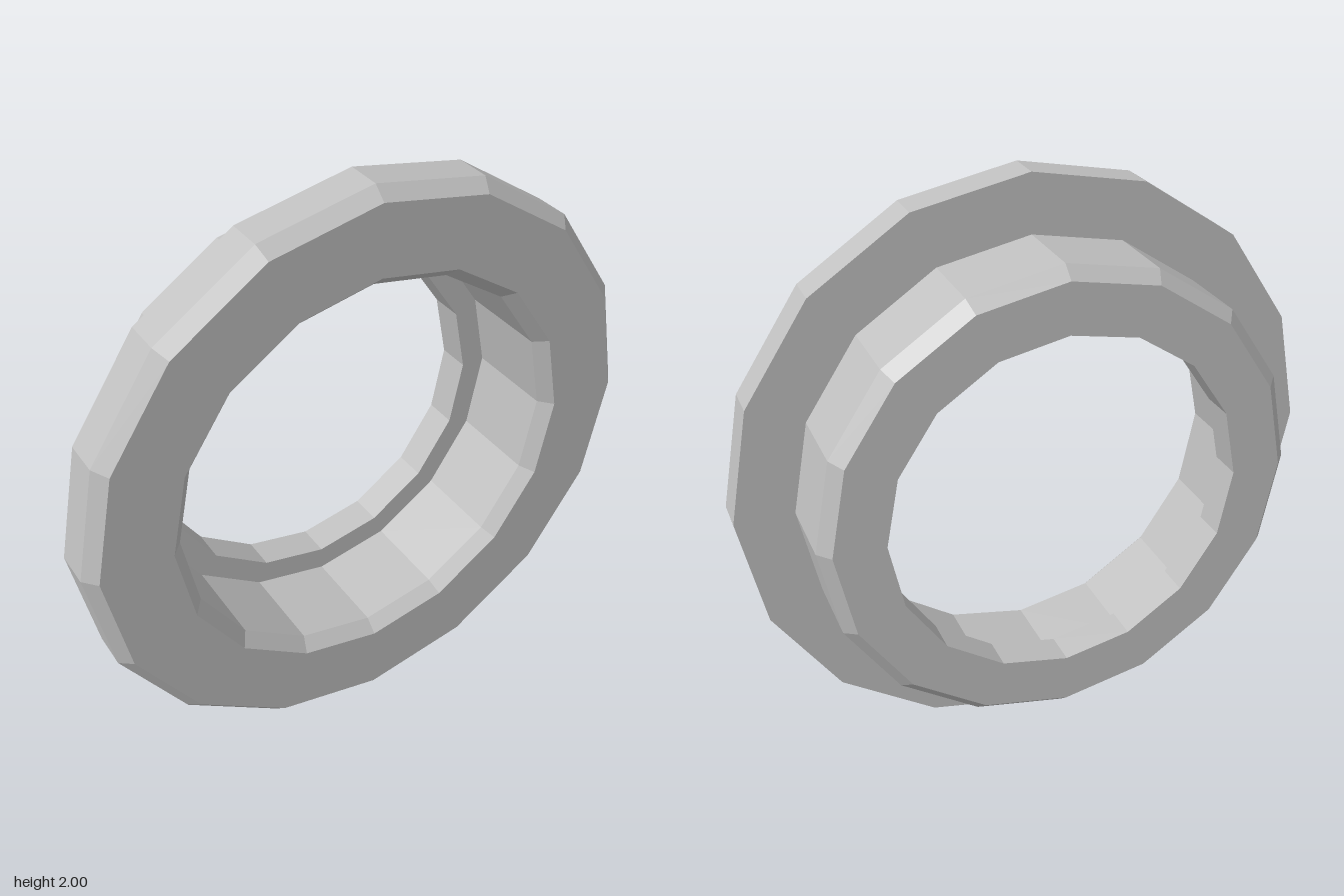
import * as THREE from 'three';

const SIDES = 16;

// Turns a [radius, z] profile around the z axis with flat facets.
function turned(name, profile, material) {
  const points = profile.map(([r, z]) => new THREE.Vector2(r, z));
  const geometry = new THREE.LatheGeometry(points, SIDES).toNonIndexed();
  geometry.rotateX(Math.PI / 2);
  geometry.computeVertexNormals();
  const mesh = new THREE.Mesh(geometry, material);
  mesh.name = name;
  mesh.position.y = 1;
  return mesh;
}

export function createModel() {
  const model = new THREE.Group();
  model.name = 'flangedRing';
  const metal = new THREE.MeshStandardMaterial({ color: 0xc0c0c0 });
  metal.name = 'light grey metal';

  // Wide front flange, chamfered on its outer rim and around the opening
  model.add(turned('flange', [
    [0.805, 0.068], [1, 0.068], [1, 0.19], [0.96, 0.235], [0.72, 0.235], [0.68, 0.19],
  ], metal));

  // Sleeve behind it: stepped bore, rear face, chamfer and outer wall
  model.add(turned('sleeve', [
    [0.68, 0.19], [0.68, -0.12], [0.595, -0.12], [0.595, -0.235],
    [0.765, -0.235], [0.805, -0.19], [0.805, 0.068],
  ], metal));

  return model;
}
